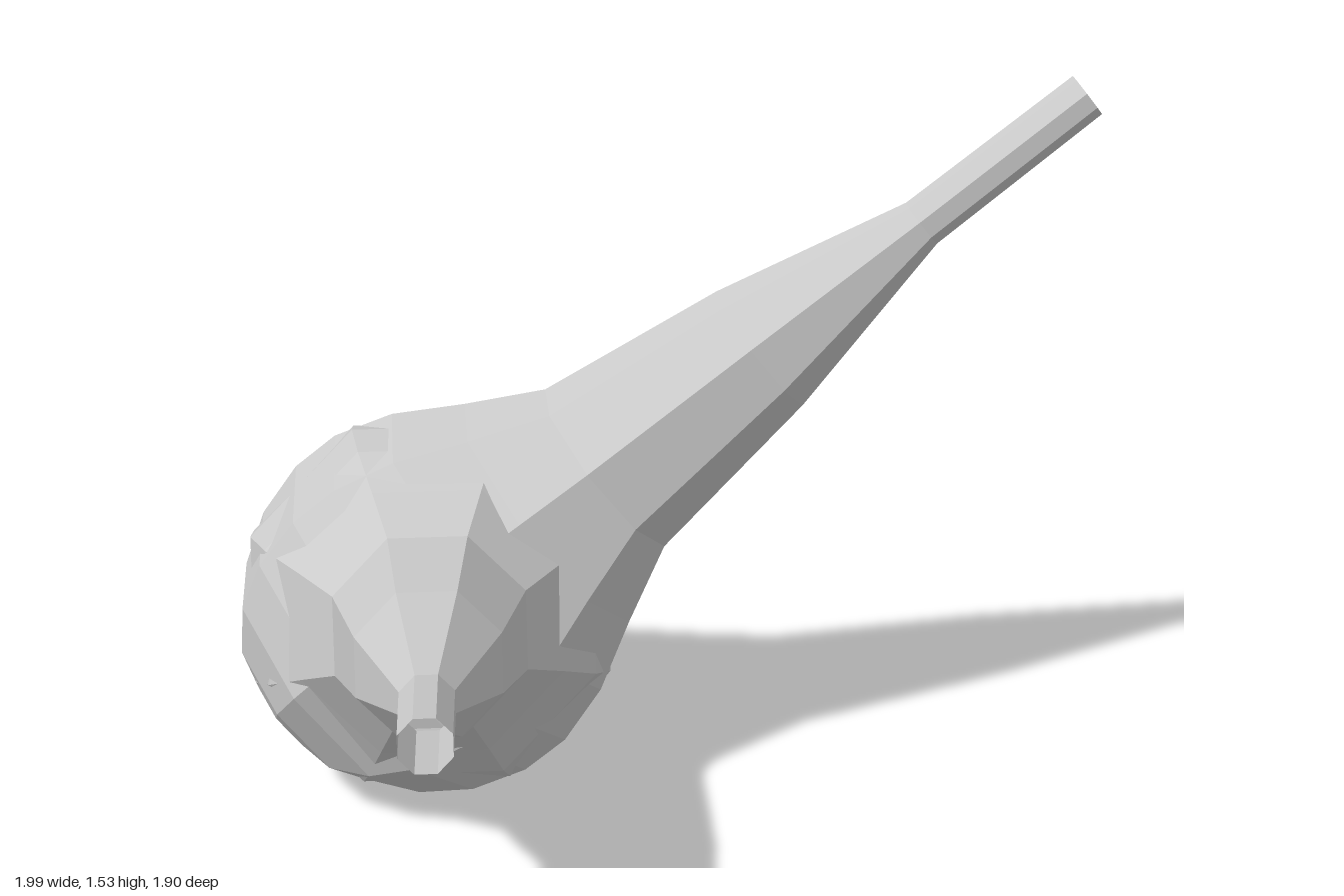
import * as THREE from 'three';

// Profile from the open handle tip to the closed end of the bulb: [radius, distance]
const PROFILE = [
  [0.05, 0], [0.054, 0.43], [0.152, 0.86], [0.212, 1.28], [0.295, 1.44],
  [0.375, 1.58], [0.415, 1.71], [0.415, 1.82], [0.38, 1.94], [0.315, 2.04],
  [0.22, 2.12], [0.11, 2.163], [0, 2.175],
];
const BULB_DISTANCE = 1.76;

const material = new THREE.MeshStandardMaterial({
  color: 0xcccccc, flatShading: true, side: THREE.DoubleSide,
});

// Eight-sided shaker running from its handle tip to its bulb centre, one flat side up
function shaker(name, tip, bulb) {
  const axis = bulb.clone().sub(tip);
  const stretch = axis.length() / BULB_DISTANCE;
  axis.normalize();
  const points = PROFILE.map(([r, d]) => new THREE.Vector2(r, d * stretch));
  const geometry = new THREE.LatheGeometry(points, 8, Math.PI / 8);

  const up = new THREE.Vector3(0, 1, 0).addScaledVector(axis, -axis.y).normalize();
  const side = new THREE.Vector3().crossVectors(axis, up);
  const mesh = new THREE.Mesh(geometry, material);
  mesh.name = name;
  mesh.quaternion.setFromRotationMatrix(new THREE.Matrix4().makeBasis(side, axis, up));
  mesh.position.copy(tip);
  return mesh;
}

export function createModel() {
  const model = new THREE.Group();
  model.name = 'pairOfShakers';
  // Both bulbs overlap at the same centre, the handles spread apart
  const bulb = new THREE.Vector3(-0.335, 0.41, -0.545);
  model.add(
    shaker('leftShaker', new THREE.Vector3(0.96, 1.505, -0.03), bulb),
    shaker('rightShaker', new THREE.Vector3(-0.95, 0.875, 0.925), bulb),
  );
  return model;
}
